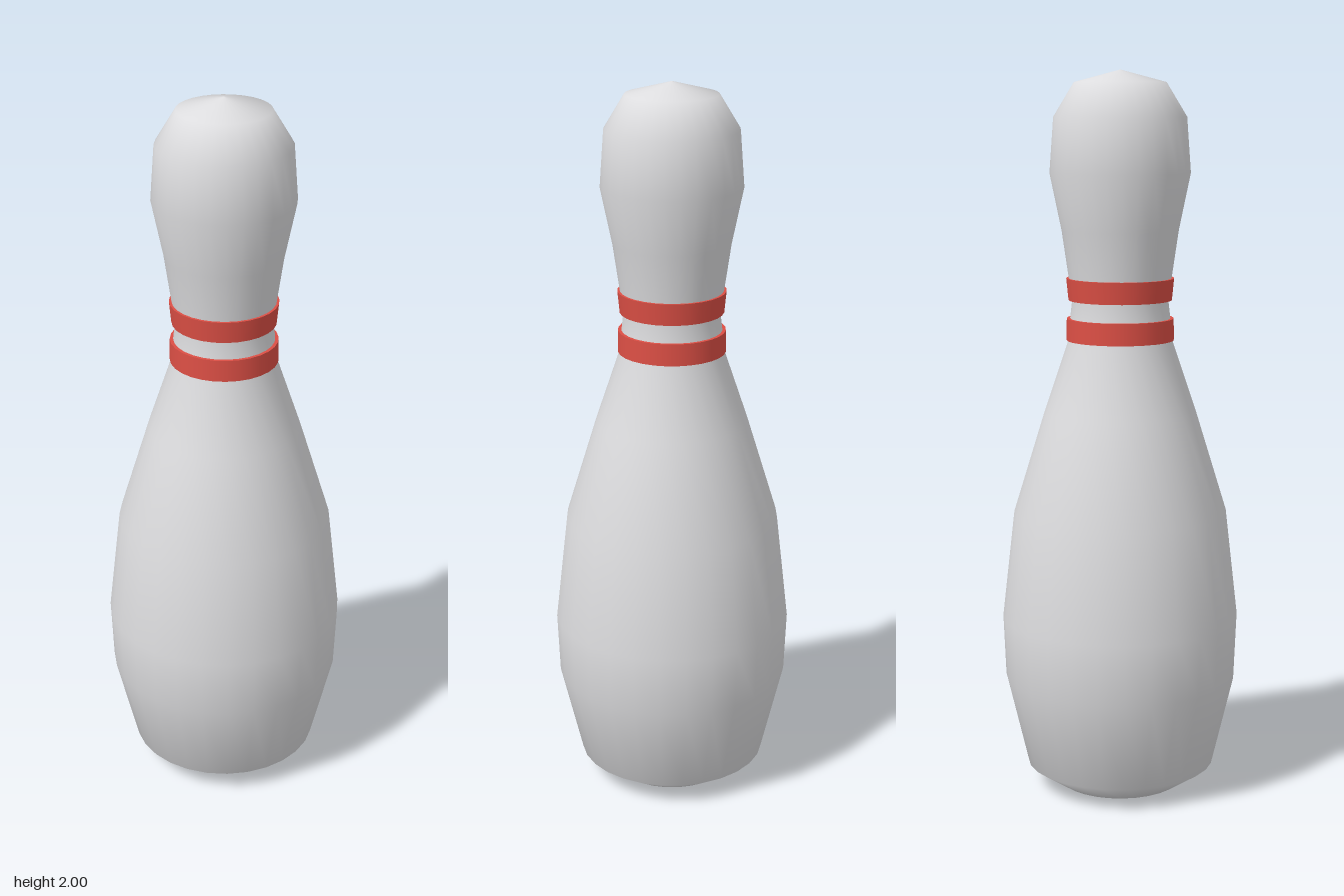
import * as THREE from 'three';

const SEGMENTS = 28;

// Turn a list of [radius, height] points into a smooth solid of revolution
function turned(name, points, material) {
  const profile = points.map(([r, y]) => new THREE.Vector2(r, y));
  const mesh = new THREE.Mesh(new THREE.LatheGeometry(profile, SEGMENTS), material);
  mesh.name = name;
  return mesh;
}

// Slightly raised collar, closed at top and bottom
function band(name, bottom, top, rBottom, rTop, material) {
  const group = new THREE.Group();
  group.name = name;
  const inner = 0.125;
  group.add(
    turned(name + 'Underside', [[inner, bottom], [rBottom, bottom]], material),
    turned(name + 'Face', [[rBottom, bottom], [rTop, top]], material),
    turned(name + 'Rim', [[rTop, top], [inner, top]], material),
  );
  return group;
}

export function createModel() {
  const white = new THREE.MeshStandardMaterial({ color: 0xdcdcde });
  white.name = 'white';
  const red = new THREE.MeshStandardMaterial({ color: 0xdc4f45 });
  red.name = 'red';

  const model = new THREE.Group();
  model.name = 'bowlingPin';

  // Body from base to crown
  model.add(turned('body', [
    [0, 0], [0.17, 0.005], [0.262, 0.065], [0.323, 0.32], [0.33, 0.49],
    [0.296, 0.79], [0.21, 1.07], [0.146, 1.26], [0.132, 1.38],
    [0.141, 1.44], [0.16, 1.57], [0.192, 1.725], [0.181, 1.875],
    [0.125, 1.967], [0, 2],
  ], white));

  // Two neck stripes
  model.add(band('lowerBand', 1.27, 1.33, 0.148, 0.147, red));
  model.add(band('upperBand', 1.38, 1.44, 0.142, 0.148, red));

  return model;
}
